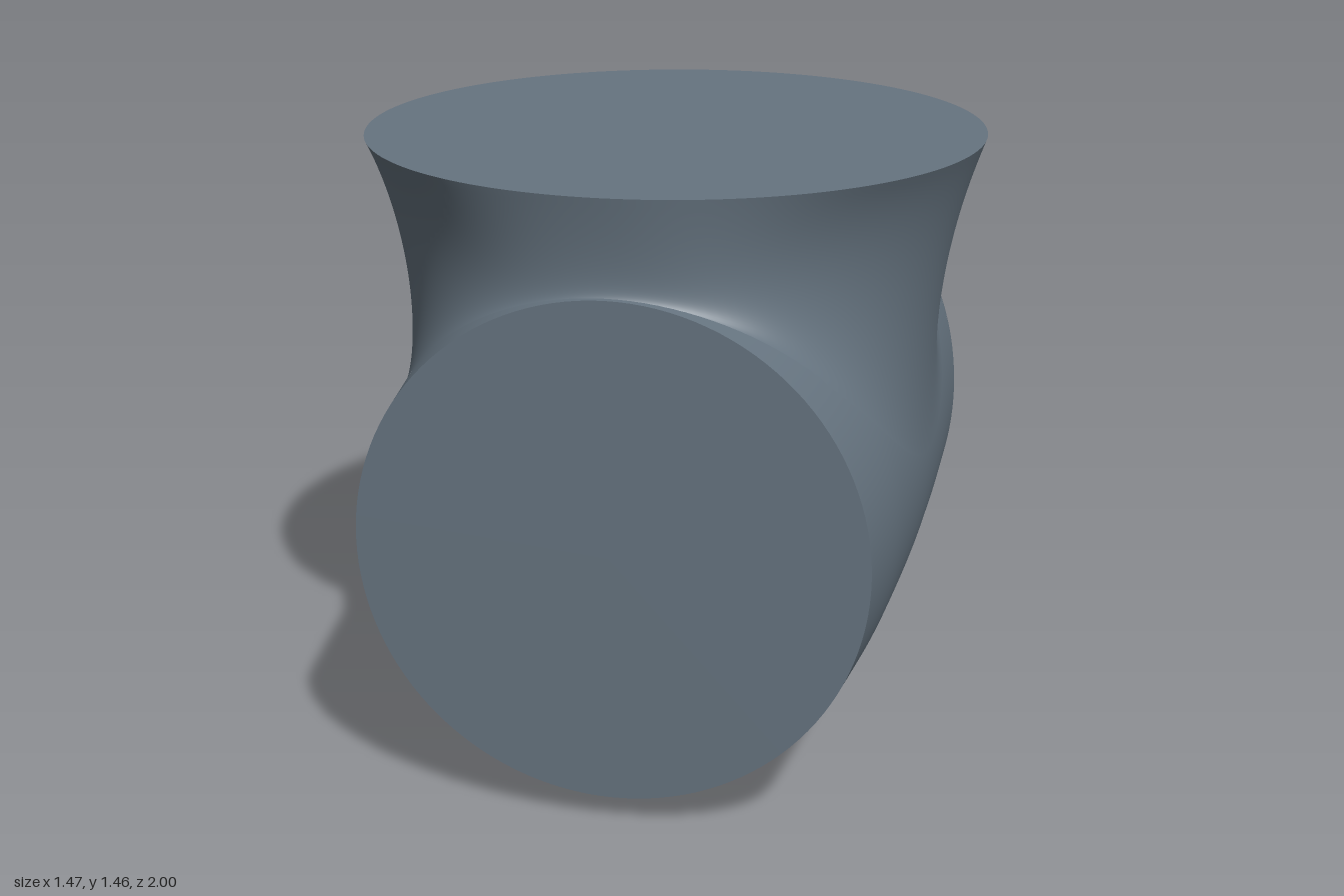
import * as THREE from 'three';
import { toCreasedNormals } from 'three/addons/utils/BufferGeometryUtils.js';

// Grid of rows x columns, closed around the columns
function gridSurface(rows, cols, pointAt) {
  const pos = [], index = [];
  for (let i = 0; i <= rows; i++) {
    for (let j = 0; j < cols; j++) {
      const p = pointAt(i / rows, (j / cols) * Math.PI * 2);
      pos.push(p.x, p.y, p.z);
    }
  }
  for (let i = 0; i < rows; i++) {
    for (let j = 0; j < cols; j++) {
      const a = i * cols + j, b = i * cols + ((j + 1) % cols);
      index.push(a, b, a + cols, b, b + cols, a + cols);
    }
  }
  const g = new THREE.BufferGeometry();
  g.setAttribute('position', new THREE.Float32BufferAttribute(pos, 3));
  g.setIndex(index);
  g.computeVertexNormals();
  return g;
}

// Tilted elliptical sections: [top z, top y, bottom z, bottom y, half width]
function loft(sections, rows, cols, adjust = (p) => p) {
  const curve = (f) => new THREE.CatmullRomCurve3(sections.map(f), false, 'catmullrom', 0.4);
  const tops = curve((s) => new THREE.Vector3(s[4], s[1], s[0]));
  const bottoms = curve((s) => new THREE.Vector3(0, s[3], s[2]));
  return gridSurface(rows, cols, (t, a) => {
    const T = tops.getPoint(t), B = bottoms.getPoint(t), c = Math.cos(a);
    return adjust(new THREE.Vector3(
      T.x * Math.sin(a),
      (T.y + B.y) / 2 + ((T.y - B.y) / 2) * c,
      (T.z + B.z) / 2 + ((T.z - B.z) / 2) * c
    ));
  });
}

export function createModel() {
  const group = new THREE.Group();
  const slate = new THREE.MeshStandardMaterial({ color: 0x667480 });
  slate.name = 'slate grey';
  const add = (name, geometry) => {
    const m = new THREE.Mesh(geometry, slate);
    m.name = name;
    group.add(m);
    return m;
  };

  // Horizontal tube, swelling slightly towards the tilted back rim
  add('horizontalTube', loft([
    [1, 1.24, 1, 0.065, 0.578],
    [0.7, 1.262, 0.75, 0.042, 0.61],
    [0.3, 1.28, 0.4, 0.016, 0.633],
    [-0.1, 1.29, 0.13, 0.004, 0.643],
    [-0.5, 1.275, -0.07, 0.003, 0.645],
  ], 40, 128));

  // Flat front end
  const front = add('frontEnd', new THREE.CircleGeometry(1, 128));
  front.scale.set(0.578, 0.5875, 1);
  front.position.set(0, 0.6525, 1);

  // Flared neck: each curve leaves the tube at a tangent and rises to the top rim
  const neckZ = 0.262, neckR = 0.737, topY = 1.46;
  add('flaredNeck', gridSurface(28, 160, (t, a) => {
    const s = Math.sin(a), c = Math.cos(a);
    const z = neckZ + neckR * c;
    const r = 0.645 - 0.062 * ((z + 0.1) / 1.1) ** 2;
    const phi = s * THREE.MathUtils.degToRad(85);
    const sp = Math.sin(phi), cp = Math.cos(phi);
    const foot = new THREE.Vector3(r * sp, 0.65 + r * cp, z);
    const k = 0.4 * sp * sp;
    const bend = new THREE.Vector3(
      foot.x - Math.sign(s) * k * cp,
      foot.y + k * Math.abs(sp),
      foot.z - 0.04 * c
    );
    const rim = new THREE.Vector3(neckR * s, topY, z);
    return new THREE.QuadraticBezierCurve3(foot, bend, rim).getPoint(t);
  }));

  // Flat top end
  const top = add('topEnd', new THREE.CircleGeometry(neckR, 160));
  top.rotation.x = -Math.PI / 2;
  top.position.set(0, topY, neckZ);

  // Tilted end cap with four bolt recesses sunk along its axis
  const inward = new THREE.Vector3(0, 0.32, 0.947).normalize();
  const holes = [];
  for (const side of [-1, 1]) {
    holes.push(new THREE.Vector3(side * 0.28, 0.82, -0.94));
    holes.push(new THREE.Vector3(side * 0.395, 0.4, -0.8));
  }
  const sink = (p) => {
    for (const h of holes) {
      const d = p.clone().sub(h);
      const along = d.dot(inward);
      const off = d.addScaledVector(inward, -along).length();
      if (off < 0.038 && along < 0.045) p.addScaledVector(inward, 0.045 - along);
    }
    return p;
  };
  const cap = loft([
    [-0.5, 1.275, -0.07, 0.003, 0.645],
    [-0.55, 1.262, -0.11, 0.018, 0.637],
    [-0.585, 1.21, -0.18, 0.042, 0.602],
    [-0.75, 1.085, -0.4, 0.055, 0.54],
    [-0.91, 0.97, -0.58, 0.075, 0.483],
    [-0.97, 0.9, -0.71, 0.125, 0.41],
    [-1, 0.82, -0.8, 0.21, 0.3],
    [-0.968, 0.74, -0.822, 0.29, 0.22],
    [-0.885, 0.515, -0.885, 0.515, 0],
  ], 160, 200, sink);
  add('endCap', toCreasedNormals(cap, 0.6));

  return group;
}
